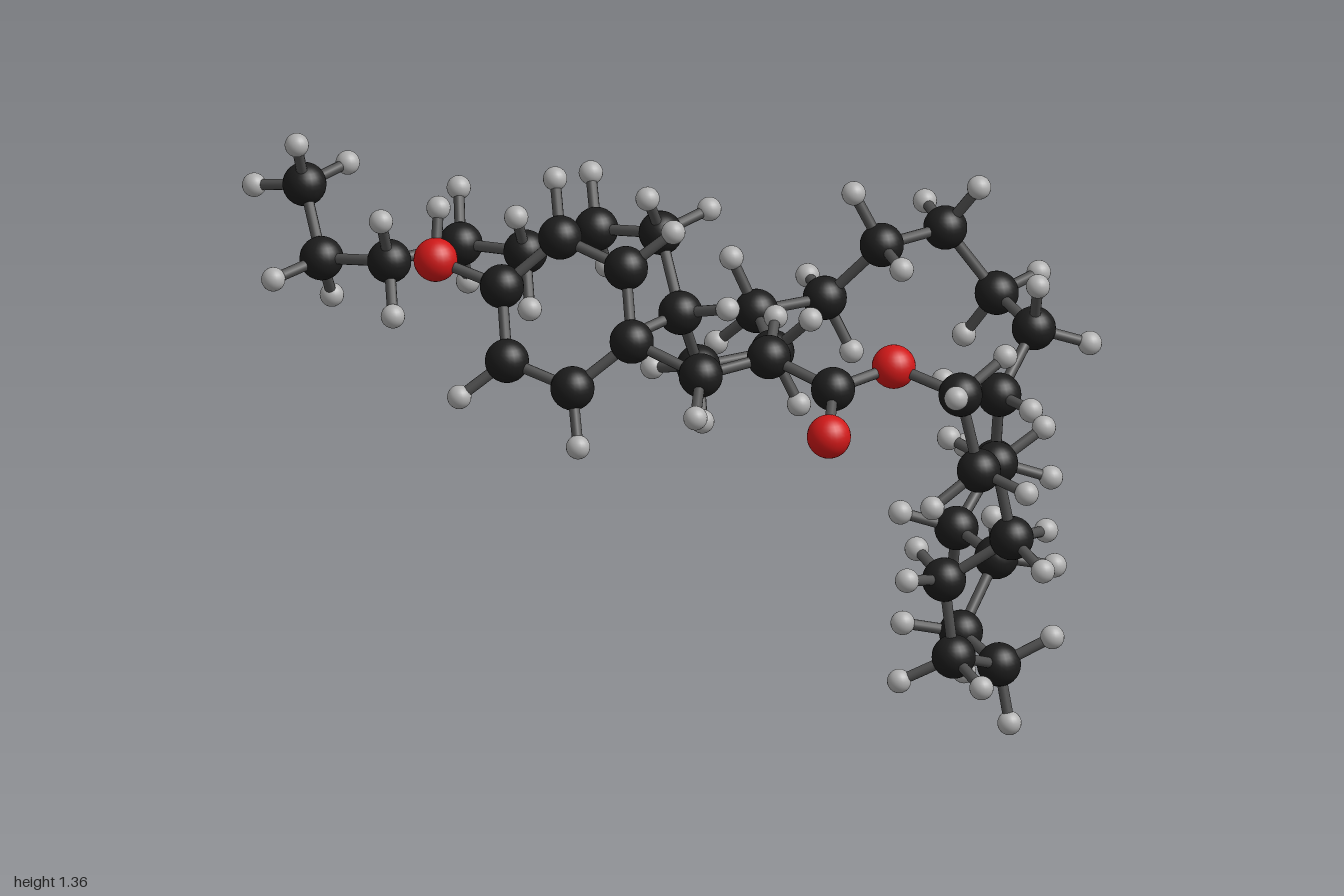
import * as THREE from 'three';

const V = (a) => new THREE.Vector3(...a);

// Long zig-zag carbon chain, from the ester end to the free tip
const CHAIN = [
  [0.827, 0.947, 0.036], [0.848, 0.762, 0], [0.725, 0.71, -0.14], [0.737, 0.525, -0.175],
  [0.636, 0.42, -0.06], [0.655, 0.237, -0.073], [0.598, 0.162, -0.243], [0.413, 0.177, -0.274],
  [0.371, 0.315, -0.405], [0.187, 0.323, -0.43], [0.138, 0.436, -0.575], [0.188, 0.618, -0.55],
  [0.136, 0.732, -0.686], [-0.047, 0.754, -0.718], [-0.118, 0.911, -0.626], [-0.115, 0.911, -0.445],
  [-0.216, 0.772, -0.36], [-0.221, 0.782, -0.171], [-0.056, 0.752, -0.093], [-0.07, 0.757, 0.105],
  [-0.028, 0.918, 0.187], [-0.152, 1.065, 0.15], [-0.332, 1.03, 0.197], [-0.35, 1.012, 0.383],
  [-0.532, 0.986, 0.43], [-0.553, 0.98, 0.615], [-0.735, 0.944, 0.67], [-0.853, 1.078, 0.63],
].map(V);

// Six-sided ring; the first corner carries the hydroxyl, the fourth the linker
const RING = [
  [-0.01, 1.105, 0.703], [0.056, 1.217, 0.588], [0.21, 1.174, 0.518],
  [0.288, 1.03, 0.56], [0.22, 0.923, 0.676], [0.072, 0.961, 0.75],
].map(V);

// Linker between ring and ester
const LINK = [[0.452, 0.982, 0.488], [0.495, 1.003, 0.328], [0.658, 0.962, 0.269]].map(V);

const HYDROXYL_O = V([-0.157, 1.142, 0.78]);
const HYDROXYL_H = V([-0.2, 1.245, 0.74]);
const ESTER_O = V([0.67, 0.983, 0.107]);
const CARBONYL_O = V([0.767, 0.902, 0.362]);
const TIP_H = [[-0.976, 1.05, 0.68], [-0.815, 1.195, 0.68], [-0.868, 1.095, 0.497]].map(V);
const CH = 0.136; // carbon to hydrogen distance

export function createModel() {
  const model = new THREE.Group();
  const mat = (color) => new THREE.MeshStandardMaterial({ color });
  const kinds = {
    carbon: { geo: new THREE.SphereGeometry(0.05, 24, 16), mat: mat(0x1c1c1c) },
    oxygen: { geo: new THREE.SphereGeometry(0.05, 24, 16), mat: mat(0xd01818) },
    hydrogen: { geo: new THREE.SphereGeometry(0.0275, 20, 14), mat: mat(0xb0b0b0) },
  };
  const rodGeo = new THREE.CylinderGeometry(0.0125, 0.0125, 1, 12, 1, true);
  const rodMat = mat(0x505050);
  const up = new THREE.Vector3(0, 1, 0);

  const section = (name) => {
    const g = new THREE.Group();
    g.name = name;
    model.add(g);
    return g;
  };
  const atom = (g, kind, p) => {
    const m = new THREE.Mesh(kinds[kind].geo, kinds[kind].mat);
    m.name = kind + 'Atom';
    m.position.copy(p);
    g.add(m);
  };
  const bond = (g, a, b) => {
    const d = b.clone().sub(a);
    const m = new THREE.Mesh(rodGeo, rodMat);
    m.name = 'bond';
    m.position.copy(a).add(b).multiplyScalar(0.5);
    m.scale.y = d.length();
    m.quaternion.setFromUnitVectors(up, d.normalize());
    g.add(m);
  };
  const hydrogen = (g, from, p) => {
    atom(g, 'hydrogen', p);
    bond(g, from, p);
  };
  const dir = (a, b) => b.clone().sub(a).normalize();

  // One hydrogen in the plane of its neighbours, pointing away from both
  const planarHydrogen = (g, c, a, b) => {
    const out = dir(c, a).add(dir(c, b)).normalize().multiplyScalar(-CH);
    hydrogen(g, c, out.add(c));
  };
  // Two hydrogens completing a tetrahedron
  const hydrogenPair = (g, c, a, b) => {
    const u = dir(c, a), v = dir(c, b);
    const out = u.clone().add(v).normalize().negate();
    const side = u.cross(v).normalize();
    for (const s of [-1, 1]) {
      const p = c.clone().addScaledVector(out, CH * 0.59).addScaledVector(side, s * CH * 0.81);
      hydrogen(g, c, p);
    }
  };

  // Ring with its hydrogens
  const ring = section('ring');
  RING.forEach((c, i) => {
    const next = RING[(i + 1) % 6], prev = RING[(i + 5) % 6];
    atom(ring, 'carbon', c);
    bond(ring, c, next);
    if (i % 3) planarHydrogen(ring, c, prev, next);
  });

  // Hydroxyl on the ring
  const hydroxyl = section('hydroxyl');
  atom(hydroxyl, 'oxygen', HYDROXYL_O);
  bond(hydroxyl, RING[0], HYDROXYL_O);
  hydrogen(hydroxyl, HYDROXYL_O, HYDROXYL_H);

  // Linker and ester
  const linker = section('linker');
  const path = [RING[3], ...LINK, ESTER_O, CHAIN[0]];
  for (let i = 1; i < path.length; i++) bond(linker, path[i - 1], path[i]);
  LINK.forEach((c) => atom(linker, 'carbon', c));
  for (const i of [1, 2]) planarHydrogen(linker, path[i], path[i - 1], path[i + 1]);
  atom(linker, 'oxygen', ESTER_O);
  atom(linker, 'oxygen', CARBONYL_O);
  bond(linker, LINK[2], CARBONYL_O);

  // Folded carbon chain with paired hydrogens and a three-hydrogen tip
  const chain = section('chain');
  CHAIN.forEach((c, i) => {
    atom(chain, 'carbon', c);
    const next = CHAIN[i + 1];
    if (next) {
      bond(chain, c, next);
      hydrogenPair(chain, c, i ? CHAIN[i - 1] : ESTER_O, next);
    } else {
      TIP_H.forEach((p) => hydrogen(chain, c, p));
    }
  });

  return model;
}
